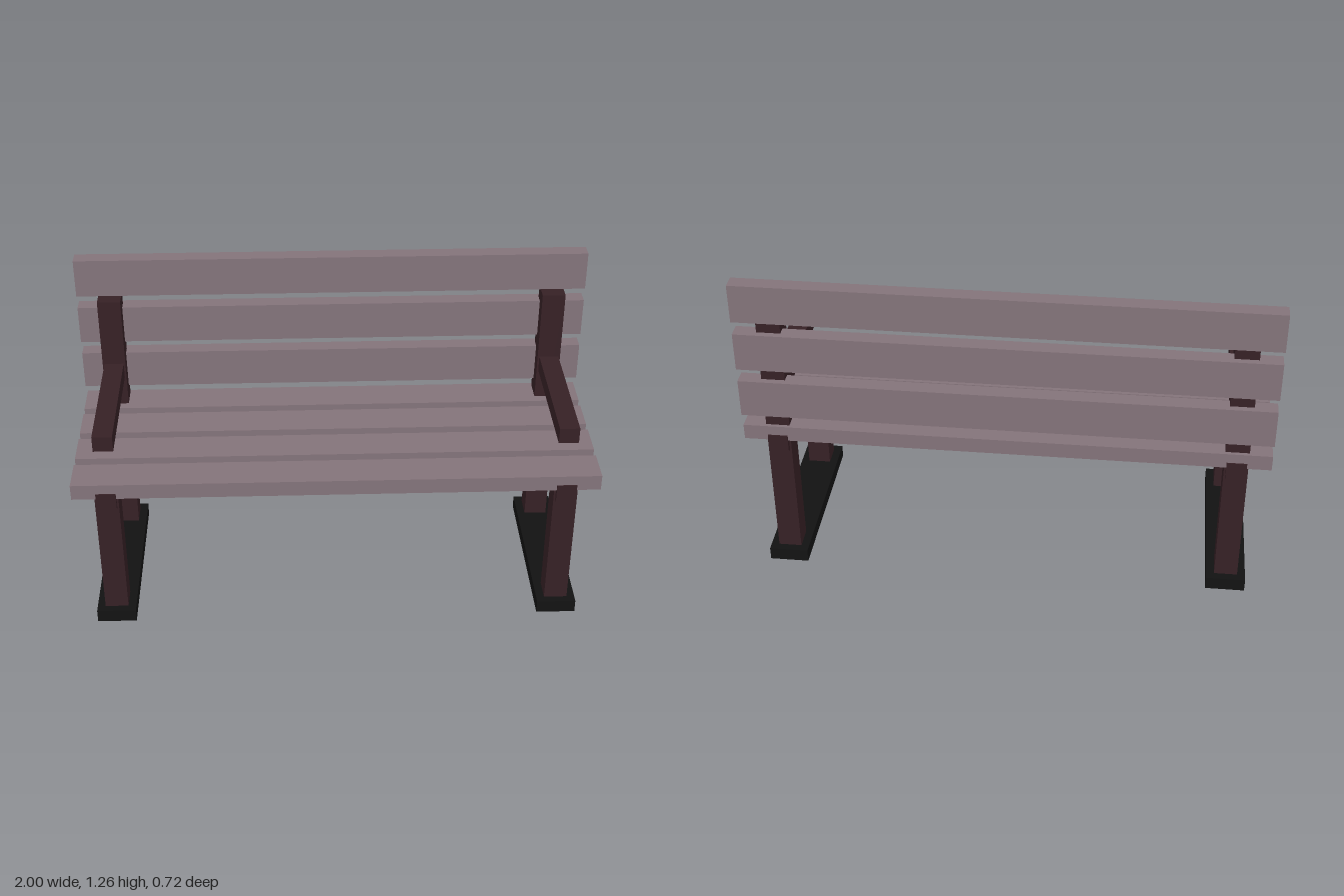
import * as THREE from 'three';

export function createModel() {
  const model = new THREE.Group();
  model.name = 'bench';

  const slatWood = new THREE.MeshStandardMaterial({ color: 0x83737a });
  const frameWood = new THREE.MeshStandardMaterial({ color: 0x362025 });
  const footBlack = new THREE.MeshStandardMaterial({ color: 0x121212 });

  // Box given by its x centre and width, and its y and z ranges
  function beam(parent, name, material, x, width, [y0, y1], [z0, z1]) {
    const mesh = new THREE.Mesh(new THREE.BoxGeometry(width, y1 - y0, z1 - z0), material);
    mesh.position.set(x, (y0 + y1) / 2, (z0 + z1) / 2);
    mesh.name = name;
    parent.add(mesh);
  }

  // Seat slats, front to back
  for (let i = 0; i < 4; i++) {
    const z = 0.27 - i * 0.18;
    beam(model, 'seatSlat', slatWood, 0, 2, [0.58, 0.642], [z - 0.07, z + 0.07]);
  }

  // Backrest slats, bottom to top
  for (let i = 0; i < 3; i++) {
    const y = 0.695 + i * 0.205;
    beam(model, 'backSlat', slatWood, 0, 2, [y, y + 0.153], [-0.35, -0.29]);
  }

  // Side frames
  for (const side of [1, -1]) {
    const frame = new THREE.Group();
    frame.name = side > 0 ? 'leftFrame' : 'rightFrame';
    frame.position.x = side * 0.87;
    beam(frame, 'foot', footBlack, 0, 0.152, [0, 0.052], [-0.358, 0.358]);
    beam(frame, 'frontLeg', frameWood, 0, 0.09, [0.05, 0.565], [0.24, 0.328]);
    beam(frame, 'backPost', frameWood, 0, 0.09, [0.05, 1.105], [-0.326, -0.237]);
    beam(frame, 'seatRail', frameWood, 0, 0.076, [0.53, 0.603], [-0.345, 0.345]);
    beam(frame, 'armrest', frameWood, 0, 0.076, [0.765, 0.828], [-0.25, 0.295]);
    model.add(frame);
  }

  return model;
}
